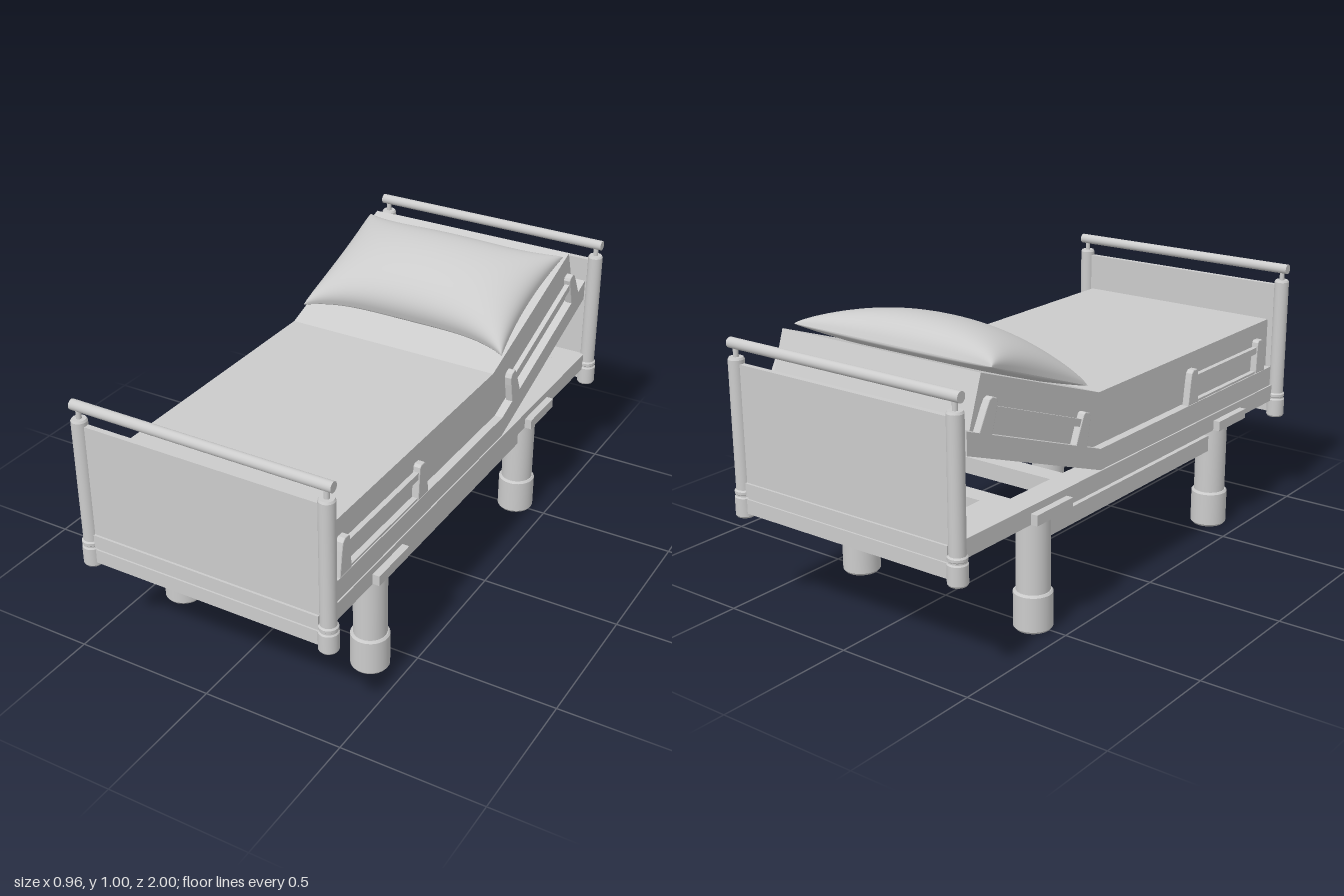
import * as THREE from 'three';

const mat = new THREE.MeshStandardMaterial({ color: 0xcccccc, roughness: 0.8, side: THREE.DoubleSide });
const TILT = Math.atan2(0.25, 0.68); // slope of the raised backrest

function add(parent, name, geo, x = 0, y = 0, z = 0) {
  const m = new THREE.Mesh(geo, mat);
  m.name = name;
  m.position.set(x, y, z);
  parent.add(m);
  return m;
}

// Box from its limits
function box(parent, name, x0, x1, y0, y1, z0, z1) {
  return add(parent, name, new THREE.BoxGeometry(x1 - x0, y1 - y0, z1 - z0),
    (x0 + x1) / 2, (y0 + y1) / 2, (z0 + z1) / 2);
}

// Side profile of [z, y] points, extruded across x and centred on x = 0
function sideExtrude(points, width, bevel = 0) {
  const shape = new THREE.Shape(points.map(([z, y]) => new THREE.Vector2(-z, y)));
  const depth = width - 2 * bevel;
  const g = new THREE.ExtrudeGeometry(shape, {
    depth, bevelEnabled: bevel > 0, bevelSize: bevel, bevelOffset: -bevel,
    bevelThickness: bevel, bevelSegments: 2, curveSegments: 6,
  });
  return g.translate(0, 0, -depth / 2).rotateY(Math.PI / 2);
}

// Turned part; each straight run gets its own band so edges stay sharp
function turned(parent, name, profile, x, y, z) {
  const g = new THREE.Group();
  g.name = name;
  g.position.set(x, y, z);
  for (let i = 0; i < profile.length - 1; i++) {
    const pts = [profile[i], profile[i + 1]].map(([r, h]) => new THREE.Vector2(r, h));
    add(g, name + 'Section', new THREE.LatheGeometry(pts, 32));
  }
  parent.add(g);
}

// Head or foot board: panel, trim, posts and top rail
function endBoard(name, z, inward) {
  const g = new THREE.Group();
  g.name = name;
  g.position.z = z;
  box(g, 'panel', -0.42, 0.42, 0.46, 0.855, -0.010, 0.010);
  box(g, 'panelStrip', -0.42, 0.42, 0.415, 0.46, -0.018, 0.018);
  box(g, 'panelGroove', -0.42, 0.42, 0.405, 0.415, -0.012, 0.012);
  box(g, 'lowerBoard', -0.42, 0.42, 0.355, 0.405, -0.018, 0.018);
  box(g, 'cleat', -0.40, 0.40, 0.38, 0.405, Math.min(0, inward * 0.055), Math.max(0, inward * 0.055));
  for (const s of [-1, 1]) {
    turned(g, 'post', [[0, 0], [0.029, 0], [0.033, 0.006], [0.033, 0.068], [0.029, 0.073],
      [0.029, 0.078], [0.032, 0.081], [0.032, 0.09], [0.027, 0.095], [0.027, 0.53],
      [0.023, 0.537], [0, 0.537]], s * 0.445, 0.338, 0);
    add(g, 'railPeg', new THREE.CylinderGeometry(0.009, 0.009, 0.04, 16), s * 0.445, 0.89, 0);
  }
  const rail = add(g, 'topRail', new THREE.CylinderGeometry(0.018, 0.018, 0.936, 24), 0, 0.918, 0);
  rail.rotation.z = Math.PI / 2;
  return g;
}

// Side guard: two tapered uprights with a bar, lying along z and centred on it
function sideGuard(half) {
  const g = new THREE.Group();
  g.name = 'sideGuard';
  for (const s of [-1, 1]) {
    const up = [[half, 0], [half - 0.012, 0.085], [half - 0.018, 0.115], [half - 0.03, 0.126],
      [half - 0.052, 0.126], [half - 0.06, 0.118], [half - 0.063, 0.09], [half - 0.068, 0]];
    add(g, 'guardUpright', sideExtrude(up.map(([z, y]) => [s * z, y]), 0.026, 0.003));
  }
  box(g, 'guardBar', -0.009, 0.009, 0.076, 0.101, -half + 0.06, half - 0.06);
  box(g, 'guardFoot', -0.009, 0.009, -0.004, 0.008, -half + 0.06, half - 0.06);
  return g;
}

// Half of the pillow: a pinched sheet puffed up from the seam
function pillowGeometry(height) {
  const g = new THREE.PlaneGeometry(2, 2, 48, 36).rotateX(-Math.PI / 2);
  const p = g.attributes.position;
  for (let i = 0; i < p.count; i++) {
    // spacing tightens toward the seam
    const u = Math.sin(p.getX(i) * Math.PI / 2), v = Math.sin(p.getZ(i) * Math.PI / 2);
    const puff = Math.max(0, (1 - u * u) * (1 - v * v)) ** 0.39;
    p.setXYZ(i, u * (0.382 + 0.022 * v * v), height * puff, v * (0.21 + 0.053 * u ** 4));
  }
  g.computeVertexNormals();
  return g;
}

export function createModel() {
  const bed = new THREE.Group();
  bed.name = 'adjustableBed';

  // End boards
  bed.add(endBoard('footBoard', 0.967, -1), endBoard('headBoard', -0.967, 1));

  // Base frame with cross members and wider corners at the head
  const frame = new THREE.Group();
  frame.name = 'baseFrame';
  bed.add(frame);
  for (const s of [-1, 1]) {
    const rail = box(frame, 'sideRail', -0.045, 0.045, 0.402, 0.464, -0.945, 0.945);
    rail.position.x = s * 0.393;
    const corner = box(frame, 'headCorner', -0.035, 0.035, 0.404, 0.463, -0.86, -0.62);
    corner.position.x = s * 0.315;
    box(frame, 'endRail', -0.35, 0.35, 0.402, 0.464, s * 0.9 - 0.045, s * 0.9 + 0.045);
  }
  for (const z of [0.78, 0.5, 0.21, -0.08, -0.34, -0.62])
    box(frame, 'crossMember', -0.35, 0.35, 0.404, 0.462, z - 0.035, z + 0.035);

  // Legs, brackets and lower stretchers
  for (const s of [-1, 1]) {
    for (const z of [0.6, -0.508]) {
      turned(bed, 'leg', [[0, 0], [0.06, 0], [0.066, 0.008], [0.066, 0.128], [0.06, 0.135],
        [0.057, 0.135], [0.057, 0.405]], s * 0.376, 0, z);
      const bracket = box(bed, 'legBracket', -0.04, 0.04, 0.403, 0.439, z - 0.095, z + 0.095);
      bracket.position.x = s * 0.423;
    }
    const stretcher = box(bed, 'stretcher', -0.02, 0.02, 0.3, 0.36, -0.46, 0.56);
    stretcher.position.x = s * 0.375;
  }

  // Mattress deck and mattress, both bent at the backrest hinge
  add(bed, 'deck', sideExtrude([[0.93, 0.466], [0.93, 0.54], [-0.22, 0.54], [-0.905, 0.792],
    [-0.905, 0.717], [-0.22, 0.466]], 0.87));
  add(bed, 'mattress', sideExtrude([[0.945, 0.535], [0.945, 0.72], [-0.19, 0.72], [-0.8, 0.937],
    [-0.857, 0.77], [-0.22, 0.535]], 0.81));

  // Side guards on the flat part and on the backrest
  for (const s of [-1, 1]) {
    const low = sideGuard(0.277);
    low.position.set(s * 0.422, 0.54, 0.605);
    const high = sideGuard(0.295);
    high.position.set(s * 0.422, 0.655, -0.577);
    high.rotation.x = TILT;
    bed.add(low, high);
  }

  // Pillow resting on the backrest
  const pillow = new THREE.Group();
  pillow.name = 'pillow';
  pillow.position.set(0, 0.85, -0.502);
  pillow.rotation.x = TILT;
  add(pillow, 'pillowTop', pillowGeometry(0.134));
  add(pillow, 'pillowUnderside', pillowGeometry(0.03).rotateZ(Math.PI));
  bed.add(pillow);

  return bed;
}
